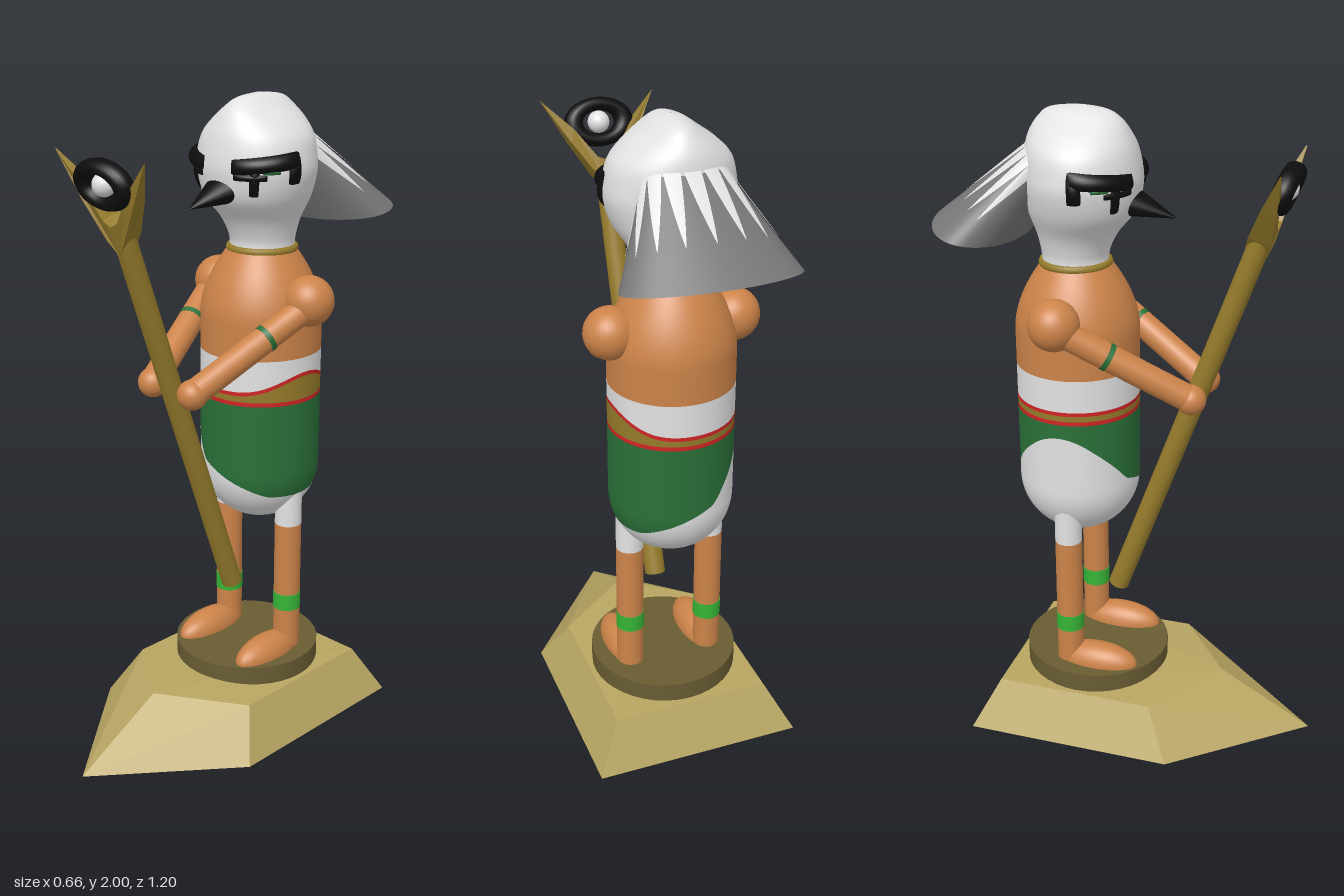
import * as THREE from 'three';
import { ParametricGeometry } from 'three/addons/geometries/ParametricGeometry.js';
import { ConvexGeometry } from 'three/addons/geometries/ConvexGeometry.js';

const V = (x, y, z) => new THREE.Vector3(x, y, z);
const mat = (name, color) => Object.assign(new THREE.MeshStandardMaterial({ color }), { name });
const orange = mat('orange skin', 0xcc8349);
const white = mat('white', 0xe2e2e2);
const green = mat('skirt green', 0x2a7038);
const bright = mat('bright green', 0x36b436);
const red = mat('red', 0xd02424);
const gold = mat('gold', 0x957b2b);
const sand = mat('sandstone', 0xb8a562);
const umber = mat('dark stone', 0x695c33);
const black = mat('black', 0x0d0d0d);
const grey = mat('grey', 0x777777);

function add(parent, name, geometry, material, pos) {
  const m = new THREE.Mesh(geometry, material);
  m.name = name;
  if (pos) m.position.copy(pos);
  parent.add(m);
  return m;
}
const surface = (f, nu, nv) => new ParametricGeometry((u, v, t) => t.copy(f(u, v)), nu, nv);

// cylinder between two points
function rod(parent, name, a, b, r, material, sides = 24) {
  const d = b.clone().sub(a);
  const m = add(parent, name, new THREE.CylinderGeometry(r, r, d.length(), sides), material,
    a.clone().add(b).multiplyScalar(0.5));
  m.quaternion.setFromUnitVectors(V(0, 1, 0), d.normalize());
  return m;
}

// torso outline: radius at a height
const BODY_Z = -0.183;
function bodyRadius(y) {
  if (y < 0.84) return 0.19 * Math.sqrt(Math.max(0.0001, 1 - ((0.84 - y) / 0.19) ** 2));
  if (y > 1.33) return 0.19 - 0.09 * ((y - 1.33) / 0.21) ** 1.8;
  return 0.19;
}
// strip of torso between two height rules of the angle
const bodyBand = (lo, hi, rows, ease = 1) => surface((u, v) => {
  const a = -2 * Math.PI * u;
  const y = lo(a) + (hi(a) - lo(a)) * v ** ease;
  const r = bodyRadius(y);
  return V(r * Math.cos(a), y, BODY_Z + r * Math.sin(a));
}, 72, rows);

// slanted skirt hem, high on the right side and low on the left
const HEM = [[-0.19, 1.03], [-0.16, 0.98], [-0.13, 0.94], [-0.07, 0.865], [0.01, 0.835], [0.09, 0.8], [0.15, 0.77], [0.19, 0.765]];
function hem(a) {
  const x = 0.19 * Math.cos(a);
  let i = 1;
  while (i < HEM.length - 1 && x > HEM[i][0]) i++;
  const [x0, y0] = HEM[i - 1], [x1, y1] = HEM[i];
  return y0 + (y1 - y0) * (x - x0) / (x1 - x0);
}

// head sections: half width, height, front z, back z
const HEAD = [
  [0.1, 1.53, -0.085, -0.285], [0.102, 1.57, -0.083, -0.287], [0.122, 1.63, -0.055, -0.3],
  [0.165, 1.7, 0, -0.322], [0.188, 1.77, 0.017, -0.33], [0.187, 1.82, 0.016, -0.33],
  [0.17, 1.88, 0.003, -0.325], [0.128, 1.925, -0.016, -0.314], [0.078, 1.962, -0.04, -0.29],
  [0.04, 1.988, -0.08, -0.255], [0.002, 2.0, -0.16, -0.165]];
const headA = new THREE.CatmullRomCurve3(HEAD.map(([x, y, f]) => V(x, y, f)), false, 'catmullrom', 0.5);
const headB = new THREE.CatmullRomCurve3(HEAD.map(([, y, , b]) => V(0, y, b)), false, 'catmullrom', 0.5);
function headPoint(t, a, off = 0) {
  const p = headA.getPoint(t), back = headB.getPoint(t).z;
  return V((p.x + off) * Math.cos(a), p.y, (p.z + back) / 2 + ((p.z - back) / 2 + off) * Math.sin(a));
}
function headParam(y) {
  let lo = 0, hi = 1;
  for (let i = 0; i < 40; i++) {
    const mid = (lo + hi) / 2;
    if (headA.getPoint(mid).y < y) lo = mid; else hi = mid;
  }
  return lo;
}
// padded mark lying on the head; angles in degrees, 0 = side, 90 = front
const headMark = (a0, a1, lo, hi, off) => surface((u, v) => {
  const a = (a1 + (a0 - a1) * u) * Math.PI / 180;
  const y = lo(1 - u) + (hi(1 - u) - lo(1 - u)) * v;
  const swell = Math.max(0, Math.sin(Math.PI * u) * Math.sin(Math.PI * v)) ** 0.4;
  return headPoint(headParam(y), a, -0.003 + off * swell);
}, 16, 8);

// flared hair: ring around a tilted axis, t = 0 at the head, 1 at the rim
function hairPoint(a, t, scale = 1, off = 0) {
  const mix = (p, q) => p + (q - p) * t;
  const c = Math.cos(a) * scale, s = Math.sin(a) * scale;
  return V((mix(0.13, 0.258) + off) * c,
    mix(1.83, 1.635) + mix(0.08, 0.03) * s + off * s,
    mix(-0.27, -0.47) - mix(0.015, 0.13) * s - off * s);
}

export function createModel() {
  const model = new THREE.Group();
  model.name = 'birdFigure';

  // base
  const foot = [[-0.33, -0.46], [0.33, -0.46], [0.33, 0.2], [-0.33, 0.2], [0, 0.6]].map(([x, z]) => V(x, 0, z));
  const top = [[-0.25, -0.385], [0.25, -0.385], [0.25, 0.12], [-0.25, 0.12]].map(([x, z]) => V(x, 0.15, z));
  add(model, 'pointedBase', new ConvexGeometry([...foot, ...top, V(0, 0.165, 0.3)]), sand);
  add(model, 'pedestal', new THREE.CylinderGeometry(0.235, 0.235, 0.07, 40), umber, V(0, 0.178, -0.13));

  // torso and clothing
  const at = y => () => y;
  const beltTop = a => 1.118 + 0.055 * Math.max(0, Math.cos(a)) ** 4;
  add(model, 'belly', bodyBand(at(0.6502), hem, 20, 2), white);
  add(model, 'skirt', bodyBand(hem, at(1.075), 16), green);
  add(model, 'beltLowerEdge', bodyBand(at(1.075), at(1.088), 1), red);
  add(model, 'belt', bodyBand(at(1.088), a => beltTop(a) - 0.012, 2), gold);
  add(model, 'beltUpperEdge', bodyBand(a => beltTop(a) - 0.012, beltTop, 1), red);
  add(model, 'waistCloth', bodyBand(beltTop, at(1.22), 3), white);
  add(model, 'chest', bodyBand(at(1.22), at(1.54), 20), orange);
  const collar = add(model, 'collar', new THREE.TorusGeometry(0.1, 0.012, 8, 40), gold, V(0, 1.535, -0.185));
  collar.rotation.x = Math.PI / 2;

  // head and beak
  add(model, 'head', surface((u, v) => headPoint(v, -2 * Math.PI * u), 48, 48), white);
  const beak = surface((u, v) => {
    const a = -2 * Math.PI * u, k = 1 - v * 0.99;
    return V(0.068 * k * Math.cos(a), 1.735 - 0.045 * v + 0.047 * k * Math.sin(a), -0.02 + 0.148 * v);
  }, 24, 6);
  beak.scale(1, 1, 1);
  const beakMesh = add(model, 'beak', beak, black);
  // turn the faces outward
  const idx = beak.index.array;
  for (let i = 0; i < idx.length; i += 3) [idx[i], idx[i + 1]] = [idx[i + 1], idx[i]];
  beakMesh.geometry.computeVertexNormals();

  // swept hair with pale spikes
  add(model, 'hairFlare', surface((u, v) => hairPoint(-2 * Math.PI * u, v), 56, 6), grey);
  add(model, 'hairEnd', surface((u, v) => hairPoint(-2 * Math.PI * u, 1, 1 - v * 0.999), 56, 2), grey);
  const step = Math.PI / 8;
  for (let k = -4; k <= 4; k++) {
    add(model, 'hairSpike', surface((u, v) =>
      hairPoint(Math.PI / 2 + k * step - (u - 0.5) * step * (1 - 0.98 * v), 0.66 * v, 1, 0.004), 4, 8), white);
  }

  // mirrored sides
  for (const s of [1, -1]) {
    const side = new THREE.Group();
    side.name = s > 0 ? 'leftSide' : 'rightSide';
    side.scale.x = s;
    model.add(side);

    // eye markings
    add(side, 'eyeBrow', headMark(4, 74, q => 1.8 - 0.02 * q, q => 1.852 - 0.025 * q, 0.026), black);
    add(side, 'eyeCorner', headMark(4, 18, at(1.75), at(1.84), 0.014), black);
    add(side, 'eyeStripe', headMark(46, 56, at(1.715), at(1.81), 0.012), black);
    add(side, 'lowerLid', headMark(38, 72, at(1.765), at(1.786), 0.012), black);
    add(side, 'iris', headMark(26, 44, at(1.785), at(1.803), 0.012), green);

    // arm
    const shoulder = V(0.205, 1.39, -0.185), hand = V(0.085, 1.165, 0.2);
    add(side, 'shoulder', new THREE.SphereGeometry(0.078, 28, 20), orange, V(0.19, 1.395, -0.19));
    rod(side, 'arm', shoulder, hand, 0.041, orange);
    add(side, 'hand', new THREE.SphereGeometry(0.046, 24, 16), orange, hand);
    rod(side, 'armBand', shoulder.clone().lerp(hand, 0.37), shoulder.clone().lerp(hand, 0.405), 0.0425, green);

    // leg and foot
    const leg = y => V(0.132, y, -0.18), band = s > 0 ? 0.35 : 0.33;
    rod(side, 'upperLeg', leg(0.65), leg(0.79), 0.043, white);
    rod(side, 'lowerLeg', leg(0.215), leg(0.65), 0.043, orange);
    rod(side, 'ankleBand', leg(band), leg(band + 0.055), 0.0445, bright);
    const footGeo = new THREE.SphereGeometry(1, 28, 14, 0, Math.PI * 2, 0, Math.PI / 2);
    add(side, 'foot', footGeo, orange, V(0.13, 0.212, -0.088)).scale.set(0.058, 0.063, 0.134);
  }

  // staff, built along its own y axis with the origin at its upper end
  const staff = new THREE.Group();
  staff.name = 'staff';
  staff.position.set(0, 1.69, 0.39);
  staff.rotation.x = Math.atan2(0.445, 1.25);
  model.add(staff);
  rod(staff, 'staffPole', V(0, -1.33, 0), V(0, 0, 0), 0.033, gold);

  // forked top, thinning toward the tips
  const half = [[0.036, -0.04], [0.105, 0.07], [0.182, 0.205], [0.09, 0.11], [0.03, 0.02]];
  const outline = [[0, -0.085], ...half, [0, 0.005], ...half.map(([x, y]) => [-x, y]).reverse()];
  const fork = new THREE.ExtrudeGeometry(new THREE.Shape(outline.map(p => new THREE.Vector2(...p))),
    { depth: 0.07, bevelEnabled: false });
  fork.translate(0, 0, -0.035);
  const p = fork.attributes.position;
  for (let i = 0; i < p.count; i++) p.setZ(i, p.getZ(i) * (1 - 0.95 * Math.max(0, p.getY(i)) / 0.205));
  fork.computeVertexNormals();
  add(staff, 'staffFork', fork, gold);

  // ring and ball held in the fork
  const ring = add(staff, 'eyeRing', new THREE.TorusGeometry(0.081, 0.03, 16, 40), black, V(0, 0.125, 0.012));
  ring.scale.y = 0.68;
  add(staff, 'eyeBall', new THREE.SphereGeometry(0.034, 24, 16), white, V(0, 0.125, 0.012));
  return model;
}
